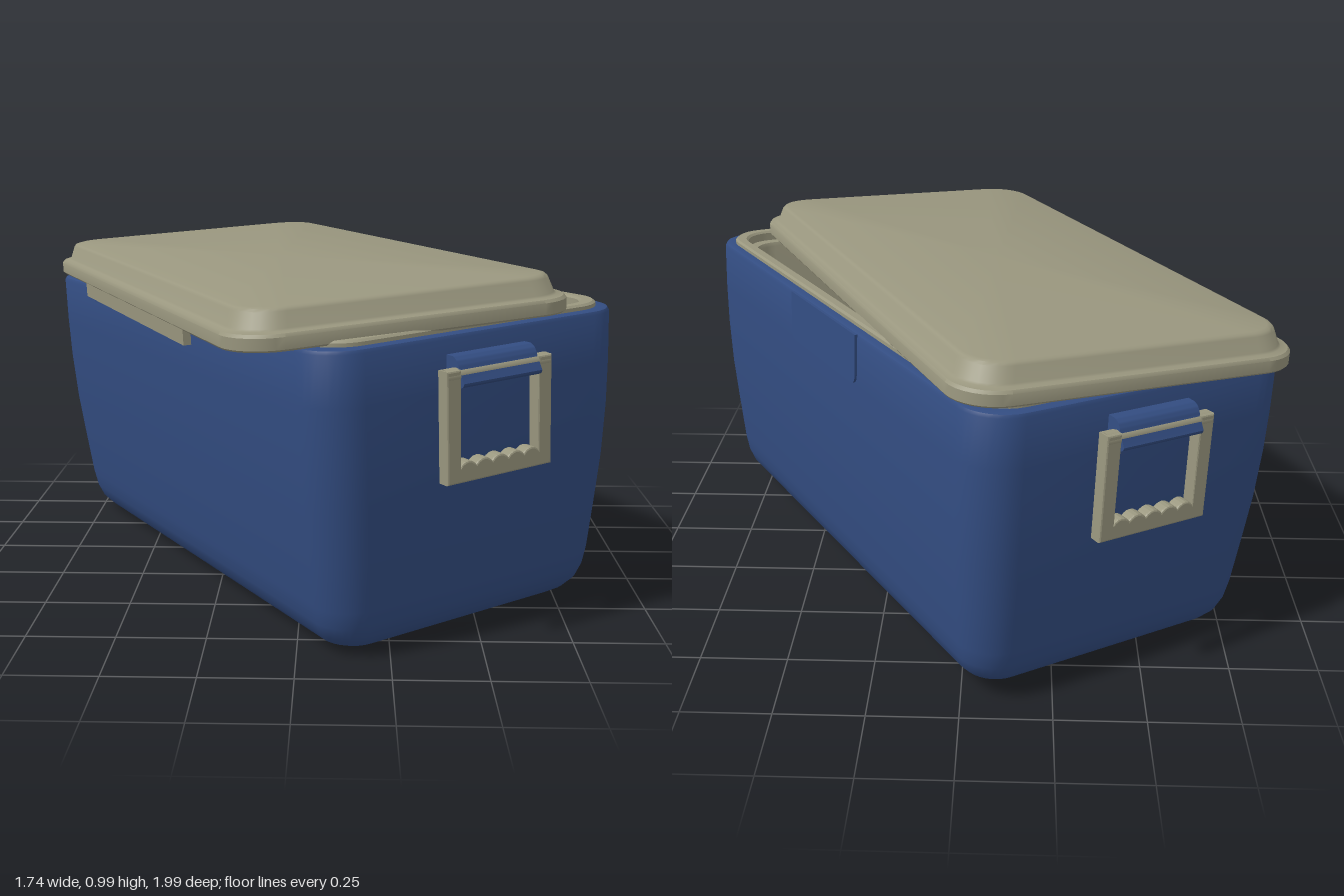
import * as THREE from 'three';
import { toCreasedNormals } from 'three/addons/utils/BufferGeometryUtils.js';

const blue = new THREE.MeshStandardMaterial({ color: 0x334d82 });
blue.name = 'blue plastic';
const tan = new THREE.MeshStandardMaterial({ color: 0x9a977f });
tan.name = 'tan plastic';

const HALF_W = 0.5, HALF_L = 0.9, RADIUS = 0.125, SEG = 8;

// Rounded rectangle outline, pulled in by an inset, at one height
function ring(inset, y) {
  const r = Math.max(RADIUS - inset * 0.4, 0.04);
  const a = HALF_W - inset - r, b = HALF_L - inset - r;
  const signs = [[1, 1], [-1, 1], [-1, -1], [1, -1]];
  const pts = [];
  signs.forEach(([sx, sz], q) => {
    for (let i = 0; i <= SEG; i++) {
      const t = (q + i / SEG) * Math.PI / 2;
      pts.push([sx * a + r * Math.cos(t), y, sz * b + r * Math.sin(t)]);
    }
  });
  return pts;
}

// Skin a list of [inset, height] levels, with optional flat caps
function loft(levels, capStart, capEnd) {
  const n = 4 * (SEG + 1), pos = [], idx = [];
  levels.forEach(([inset, y]) => ring(inset, y).forEach(p => pos.push(...p)));
  for (let i = 0; i < levels.length - 1; i++) {
    for (let j = 0; j < n; j++) {
      const k = (j + 1) % n;
      const a = i * n + j, b = a + n, c = i * n + k, d = c + n;
      idx.push(a, b, c, b, d, c);
    }
  }
  const cap = (level, flip) => {
    const centre = pos.length / 3;
    pos.push(0, levels[level][1], 0);
    for (let j = 0; j < n; j++) {
      const a = level * n + j, b = level * n + (j + 1) % n;
      if (flip) idx.push(centre, b, a);
      else idx.push(centre, a, b);
    }
  };
  if (capStart) cap(0, false);
  if (capEnd) cap(levels.length - 1, true);
  const g = new THREE.BufferGeometry();
  g.setAttribute('position', new THREE.Float32BufferAttribute(pos, 3));
  g.setIndex(idx);
  return toCreasedNormals(g, 0.65);
}

function add(parent, name, geometry, material, x = 0, y = 0, z = 0) {
  const m = new THREE.Mesh(geometry, material);
  m.name = name;
  m.position.set(x, y, z);
  parent.add(m);
  return m;
}

// Plate hanging from its top edge, lower corners rounded
function panelGeometry(w, h, r, depth) {
  const s = new THREE.Shape();
  s.moveTo(-w / 2, 0);
  s.lineTo(-w / 2, -h + r);
  s.quadraticCurveTo(-w / 2, -h, -w / 2 + r, -h);
  s.lineTo(w / 2 - r, -h);
  s.quadraticCurveTo(w / 2, -h, w / 2, -h + r);
  s.lineTo(w / 2, 0);
  return new THREE.ExtrudeGeometry(s, { depth, bevelEnabled: false });
}

// U-shaped bail with a scalloped finger grip
function bailGeometry() {
  const s = new THREE.Shape(), o = 0.167, w = 0.131, low = 0.476, grip = 0.508, top = 0.765;
  s.moveTo(-o, low);
  s.lineTo(o, low);
  s.lineTo(o, top);
  s.lineTo(w, top);
  s.lineTo(w, grip);
  const step = 2 * w / 5;
  for (let i = 0; i < 5; i++) {
    const x = w - i * step;
    s.quadraticCurveTo(x - step / 2, grip + 0.03, x - step, grip);
  }
  s.lineTo(-w, top);
  s.lineTo(-o, top);
  s.closePath();
  return new THREE.ExtrudeGeometry(s, {
    depth: 0.03, bevelThickness: 0.005, bevelSize: 0.005, bevelSegments: 2, curveSegments: 6,
  });
}

// Hooded bracket holding the bail, profile drawn as depth and height
function bracketGeometry() {
  const s = new THREE.Shape();
  s.moveTo(0.87, 0.8);
  s.lineTo(0.925, 0.8);
  s.quadraticCurveTo(0.945, 0.795, 0.952, 0.77);
  s.lineTo(0.972, 0.735);
  s.quadraticCurveTo(0.97, 0.722, 0.955, 0.722);
  s.lineTo(0.925, 0.728);
  s.lineTo(0.87, 0.735);
  s.closePath();
  const g = new THREE.ExtrudeGeometry(s, { depth: 0.256, bevelEnabled: false });
  g.translate(0, 0, -0.128);
  g.rotateY(-Math.PI / 2);
  return toCreasedNormals(g, 0.6);
}

export function createModel() {
  const model = new THREE.Group();
  model.name = 'coolBox';
  const box = new THREE.Group();
  box.name = 'box';
  box.position.set(0.032, 0.015, -0.03);
  box.rotation.set(0, 0.57, 0.042, 'YXZ');
  model.add(box);

  // Tapered outer shell
  add(box, 'shell', loft([
    [0.16, 0], [0.12, 0.006], [0.09, 0.024], [0.065, 0.052], [0.05, 0.09], [0.041, 0.14],
    [0.026, 0.28], [0.012, 0.42], [0.003, 0.57], [0, 0.7], [0, 0.838], [0.004, 0.847],
    [0.012, 0.85], [0.035, 0.85],
  ], true, false), blue);

  // Inner liner with raised rim, ledge and floor
  add(box, 'liner', loft([
    [0.03, 0.84], [0.03, 0.86], [0.036, 0.866], [0.06, 0.866], [0.066, 0.86], [0.068, 0.835],
    [0.09, 0.832], [0.096, 0.82], [0.125, 0.17], [0.135, 0.13], [0.17, 0.11],
  ], false, true), tan);

  // Finger catch on one long side, hinge seat on the other
  const finger = add(box, 'fingerCatch', panelGeometry(0.44, 0.15, 0.03, 0.009), blue, 0.498, 0.849, 0);
  finger.rotation.y = Math.PI / 2;
  const seat = add(box, 'hingeSeat', panelGeometry(1.04, 0.05, 0.008, 0.008), blue, -0.498, 0.848, 0);
  seat.rotation.y = -Math.PI / 2;

  // Carrying handles on both ends
  const bail = bailGeometry(), bracket = bracketGeometry();
  const pin = new THREE.CylinderGeometry(0.021, 0.021, 0.335, 16);
  pin.rotateZ(Math.PI / 2);
  for (const turn of [0, Math.PI]) {
    const handle = new THREE.Group();
    handle.name = turn ? 'backHandle' : 'frontHandle';
    handle.rotation.y = turn;
    add(handle, 'bail', bail, tan, 0, 0, 0.925);
    add(handle, 'pivotPin', pin, tan, 0, 0.752, 0.94);
    add(handle, 'bracket', bracket, blue);
    box.add(handle);
  }

  // Loose lid, shifted and twisted on the box
  const lid = new THREE.Group();
  lid.name = 'lid';
  lid.position.set(-0.074, 0.856, -0.027);
  lid.rotation.set(0, -0.118, 0.006, 'YXZ');
  box.add(lid);
  add(lid, 'lidPanel', loft([
    [0.04, 0.018], [0.03, 0.016], [0.026, 0], [0.004, 0], [0, 0.005], [0, 0.036],
    [0.006, 0.044], [0.022, 0.047], [0.027, 0.052], [0.04, 0.092], [0.046, 0.099], [0.056, 0.102],
  ], true, true), tan);
  add(lid, 'hingeFlange', new THREE.BoxGeometry(0.022, 0.05, 0.98), tan, -0.487, -0.016, 0);

  return model;
}
